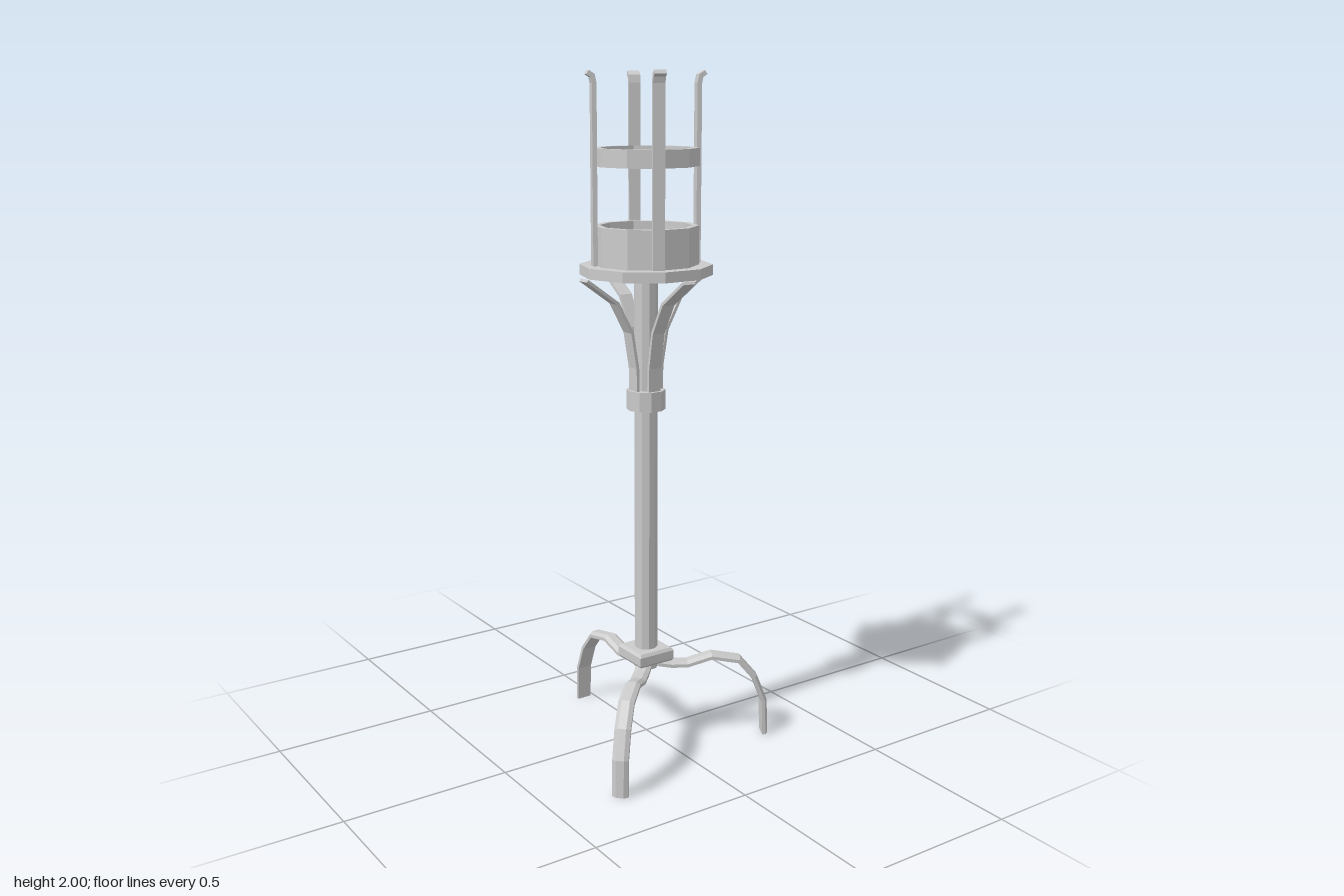
import * as THREE from 'three';

const material = new THREE.MeshStandardMaterial({ color: 0xcccccc, flatShading: true });

function add(parent, name, geometry, y = 0) {
  const mesh = new THREE.Mesh(geometry, material);
  mesh.name = name;
  mesh.position.y = y;
  parent.add(mesh);
  return mesh;
}

// Sweeps a section [across, outward] along a path [radius, height] lying in the xy plane
function sweep(path, section) {
  const pts = path.map(([r, y]) => new THREE.Vector2(r, y));
  const n = section.length, last = pts.length - 1;
  const pos = [], index = [];
  pts.forEach((p, k) => {
    const a = pts[Math.min(k + 1, last)].clone().sub(pts[Math.min(k, last - 1)]).normalize();
    const b = pts[Math.max(k, 1)].clone().sub(pts[Math.max(k - 1, 0)]).normalize();
    const t = a.clone().add(b).normalize();
    const miter = 1 / Math.max(0.5, t.dot(a));
    for (const [u, v] of section) pos.push(p.x - t.y * v * miter, p.y + t.x * v * miter, u);
  });
  for (let k = 0; k < last; k++) {
    for (let i = 0; i < n; i++) {
      const A = k * n + i, B = k * n + (i + 1) % n;
      index.push(A, A + n, B + n, A, B + n, B);
    }
  }
  for (let i = 1; i < n - 1; i++) {
    const e = last * n;
    index.push(0, i, i + 1, e, e + i + 1, e + i);
  }
  const g = new THREE.BufferGeometry();
  g.setAttribute('position', new THREE.Float32BufferAttribute(pos, 3));
  g.setIndex(index);
  const flat = g.toNonIndexed();
  flat.computeVertexNormals();
  return flat;
}

const strip = (w, t) => [[-w / 2, -t / 2], [w / 2, -t / 2], [w / 2, t / 2], [-w / 2, t / 2]];

// Ten-sided hollow band
function band(outer, inner, y0, y1) {
  const profile = [[inner, y0], [outer, y0], [outer, y1], [inner, y1], [inner, y0]]
    .map(([r, y]) => new THREE.Vector2(r, y));
  return new THREE.LatheGeometry(profile, 10, Math.PI / 2);
}

const drum = (r, h, sides = 10) => new THREE.CylinderGeometry(r, r, h, sides, 1, false, Math.PI / 2);

// Places copies of a geometry around the axis; angles run from +x towards +z
function around(parent, name, geometry, degrees) {
  for (const d of degrees) {
    add(parent, name, geometry).rotation.y = -THREE.MathUtils.degToRad(d);
  }
}

export function createModel() {
  const model = new THREE.Group();
  model.name = 'torchStand';
  const stand = new THREE.Group();
  stand.name = 'stand';
  stand.position.set(-0.035, 0, 0.05);
  model.add(stand);

  // Three bent legs with chamfered outer edges
  const legSection = [[-0.0235, -0.009], [0.0235, -0.009], [0.0235, 0.001],
    [0.012, 0.009], [-0.012, 0.009], [-0.0235, 0.001]];
  const legPath = [[0.035, 0.256], [0.075, 0.248], [0.125, 0.246], [0.16, 0.256], [0.2, 0.267],
    [0.285, 0.25], [0.335, 0.19], [0.366, 0.11], [0.37, 0]];
  around(stand, 'leg', sweep(legPath, legSection), [-90, 26, 135.5]);

  // Square foot block with bevelled upper edge
  const square = [[0, 0.265], [0.078, 0.265], [0.085, 0.272], [0.085, 0.298], [0.076, 0.307], [0, 0.307]]
    .map(([r, y]) => new THREE.Vector2(r, y));
  add(stand, 'baseBlock', new THREE.LatheGeometry(square, 4, Math.PI / 4));
  add(stand, 'baseCap', drum(0.036, 0.025), 0.2545);

  // Pole and collar
  add(stand, 'pole', drum(0.034, 1.14), 0.87);
  add(stand, 'collar', drum(0.057, 0.058), 1.073);

  // Four flared brackets under the plate
  const bracketPath = [[0.04, 1.08], [0.042, 1.17], [0.06, 1.275], [0.108, 1.363], [0.208, 1.434]];
  around(stand, 'bracket', sweep(bracketPath, strip(0.041, 0.009)), [0, 90, 180, 270]);

  // Plate, cup and upper ring
  add(stand, 'plate', drum(0.19, 0.03), 1.45);
  add(stand, 'cup', band(0.15, 0.131, 1.46, 1.575));
  add(stand, 'upperRing', band(0.15, 0.131, 1.74, 1.79));

  // Four upright bars with tips curled outwards
  const barPath = [[0.149, 1.455], [0.149, 1.965], [0.153, 1.985], [0.167, 1.994]];
  around(stand, 'cageBar', sweep(barPath, strip(0.034, 0.013)), [21, 111, 201, 291]);

  return model;
}
